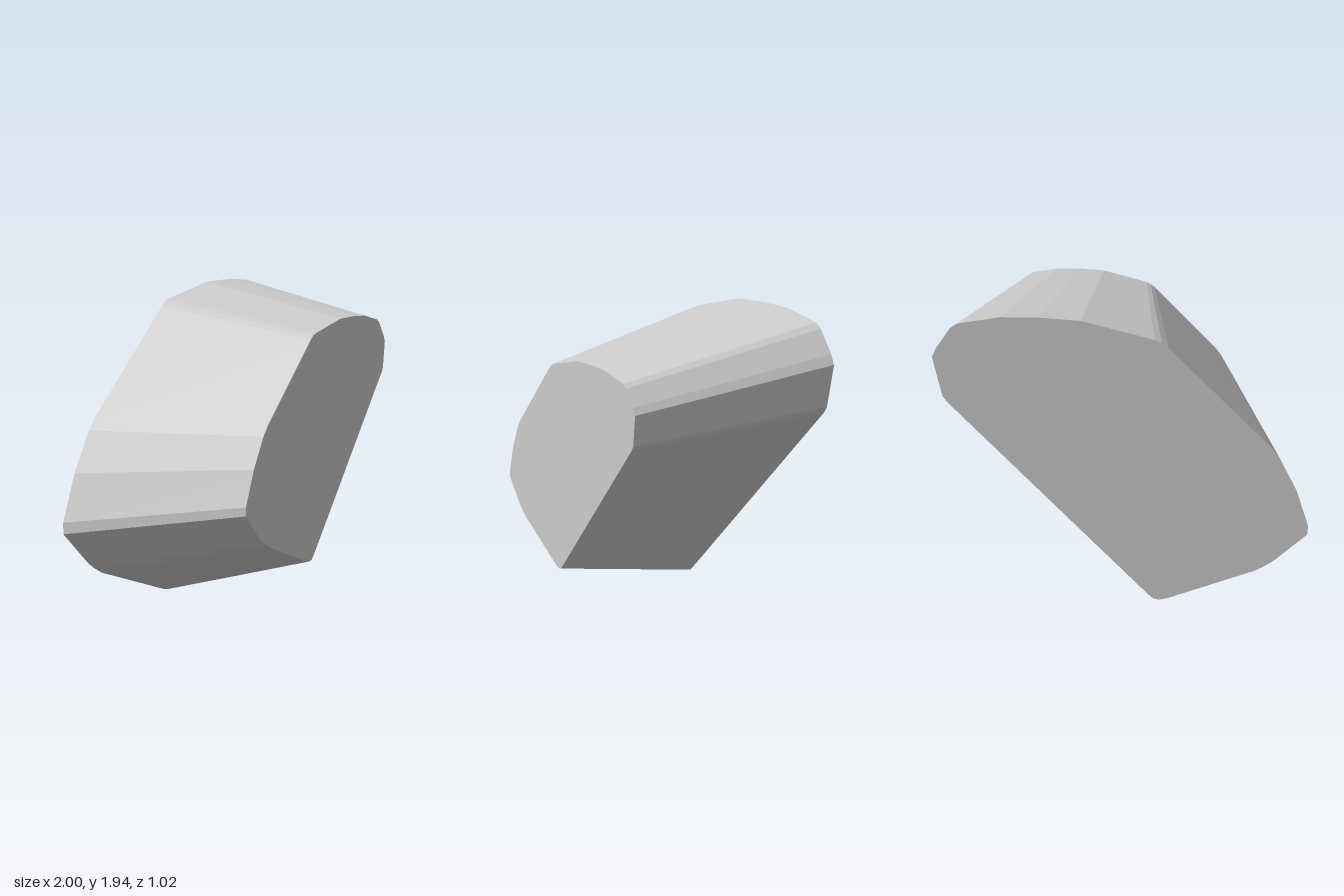
import * as THREE from 'three';

// Rounded, slanted outline at the wide back end, counter-clockwise
const OUTLINE = [
  [-0.16, 0], [-0.125, 0.01], [-0.09, 0.05],
  [0.96, 1.445], [0.977, 1.48], [1, 1.71], [0.975, 1.76], [0.89, 1.875], [0.855, 1.9],
  [0.64, 1.937], [0.46, 1.937], [0.25, 1.92],
  [-0.11, 1.817], [-0.145, 1.8], [-0.18, 1.77],
  [-0.74, 1.165], [-0.79, 1.095], [-0.905, 0.87],
  [-0.998, 0.61], [-1, 0.545], [-0.83, 0.34], [-0.785, 0.298], [-0.725, 0.255],
  [-0.245, 0.03], [-0.205, 0.012],
];
const DEPTH = 1.02;
const FRONT_SCALE = 0.7;
const FRONT_OFFSET = [0.01, 0.36];

export function createModel() {
  const group = new THREE.Group();
  group.name = 'taperedBlock';
  const grey = new THREE.MeshStandardMaterial({ color: 0xcccccc });
  grey.name = 'light grey';

  // Extrude the outline from back to front
  const shape = new THREE.Shape(OUTLINE.map(([x, y]) => new THREE.Vector2(x, y)));
  const geometry = new THREE.ExtrudeGeometry(shape, { depth: DEPTH, bevelEnabled: false });

  // Taper the front end
  const p = geometry.attributes.position;
  for (let i = 0; i < p.count; i++) {
    const t = p.getZ(i) / DEPTH;
    const s = 1 + (FRONT_SCALE - 1) * t;
    p.setXYZ(i, p.getX(i) * s + FRONT_OFFSET[0] * t, p.getY(i) * s + FRONT_OFFSET[1] * t, p.getZ(i) - DEPTH / 2);
  }
  geometry.computeVertexNormals();

  const body = new THREE.Mesh(geometry, grey);
  body.name = 'body';
  group.add(body);
  return group;
}
